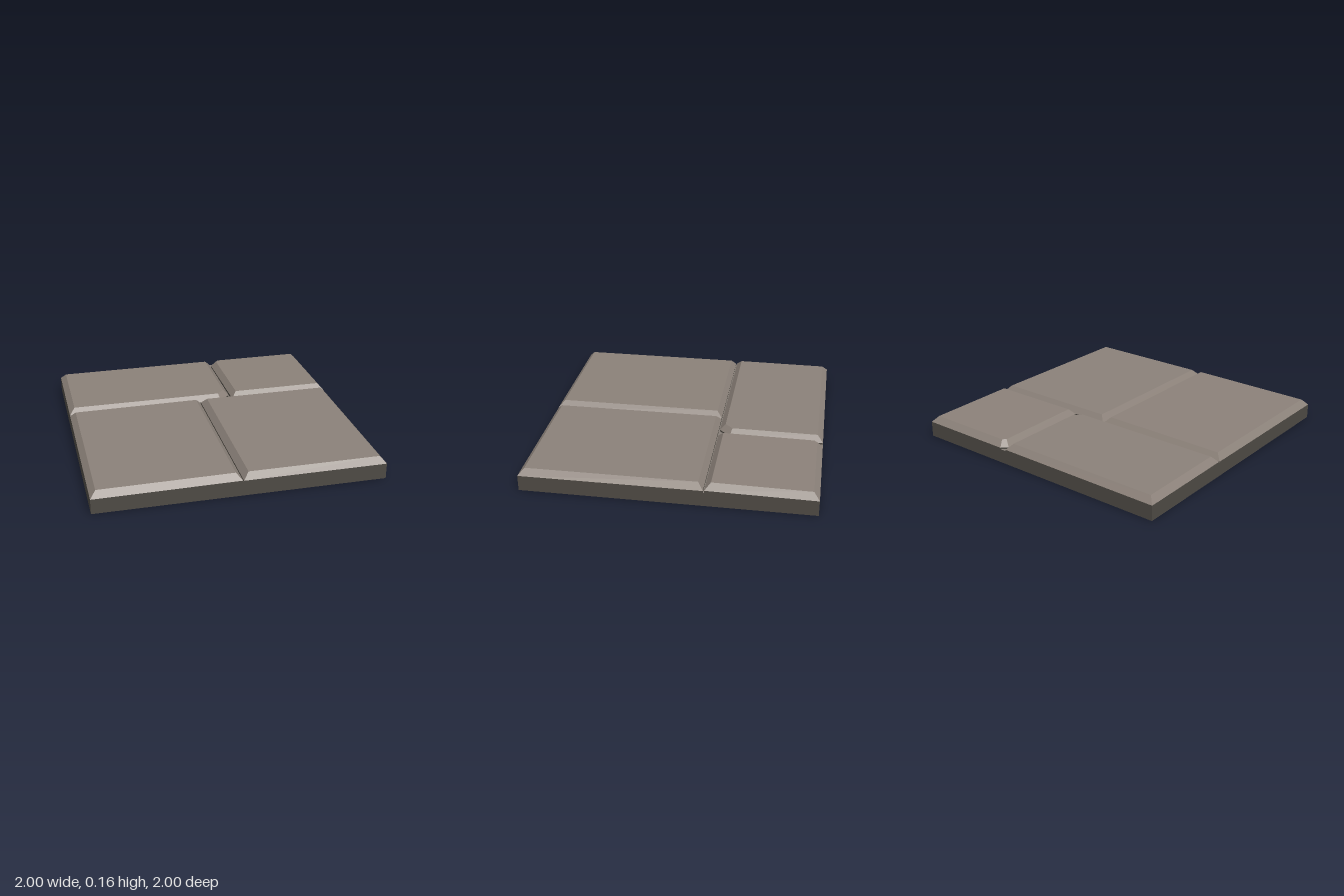
import * as THREE from 'three';

const FLOOR = 0.1; // top of the slab, seen in the joints
const BEVEL = 0.043;

const stone = new THREE.MeshStandardMaterial({ color: 0x8b8179 });
stone.name = 'stone';
const darkStone = new THREE.MeshStandardMaterial({ color: 0x4e4a44 });
darkStone.name = 'darkStone';
const mortar = new THREE.MeshStandardMaterial({ color: 0x857e77 });
mortar.name = 'mortar';

// Rectangle with optional corner cuts, counterclockwise seen from above.
// cuts: front left, front right, back right, back left (in plan).
function outline(x0, x1, z0, z1, cuts) {
  const corners = [[x0, z1, 0, -1, 1, 0], [x1, z1, -1, 0, 0, -1], [x1, z0, 0, 1, -1, 0], [x0, z0, 1, 0, 0, 1]];
  return corners.flatMap(([x, z, ax, az, bx, bz], i) => {
    const c = cuts[i];
    return c ? [[x + ax * c, z + az * c], [x + bx * c, z + bz * c]] : [[x, z]];
  });
}

// Paving stone: dark skirt, bevel and a slightly tilted top
function paver({ name, x0, x1, z0, z1, inset, cuts = [0, 0, 0, 0], topCuts = cuts, height }) {
  const [l, r, b, f] = inset;
  const edge = outline(x0, x1, z0, z1, cuts);
  const inner = outline(x0 + l, x1 - r, z0 + b, z1 - f, topCuts);
  const foot = edge.map(([x, z]) => [x, FLOOR, z]);
  const low = edge.map(([x, z]) => [x, height(x, z) - BEVEL, z]);
  const high = inner.map(([x, z]) => [x, height(x, z), z]);

  const pos = [];
  const tri = (...pts) => pts.forEach((p) => pos.push(...p));
  const band = (a, c) => a.forEach((p, i) => {
    const j = (i + 1) % a.length;
    tri(p, a[j], c[j], p, c[j], c[i]);
  });
  band(foot, low);
  const skirtCount = pos.length / 3;
  band(low, high);
  for (let i = 1; i < high.length - 1; i++) tri(high[0], high[i], high[i + 1]);

  const geo = new THREE.BufferGeometry();
  geo.setAttribute('position', new THREE.Float32BufferAttribute(pos, 3));
  geo.addGroup(0, skirtCount, 0);
  geo.addGroup(skirtCount, pos.length / 3 - skirtCount, 1);
  geo.computeVertexNormals();
  const mesh = new THREE.Mesh(geo, [darkStone, stone]);
  mesh.name = name;
  return mesh;
}

export function createModel() {
  const group = new THREE.Group();
  group.name = 'pavingTile';

  // Slab with a mortar-coloured top
  const slab = new THREE.Mesh(
    new THREE.BoxGeometry(2, FLOOR, 2),
    [darkStone, darkStone, mortar, darkStone, darkStone, darkStone]
  );
  slab.position.y = FLOOR / 2;
  slab.name = 'slab';
  group.add(slab);

  // Four pavers; inset is the bevel width at left, right, back, front in plan
  const pavers = [
    {
      name: 'frontRightPaver', x0: -1, x1: -0.003, z0: -0.247, z1: 1,
      inset: [0.04, 0.04, 0.036, 0.04],
      height: (x, z) => 0.157 + 0.007 * x - 0.002 * z,
    },
    {
      name: 'frontLeftPaver', x0: 0.003, x1: 1, z0: -0.247, z1: 1,
      inset: [0.04, 0.04, 0.036, 0.04],
      height: (x, z) => 0.156 + 0.001 * x - 0.003 * z,
    },
    {
      name: 'backRightPaver', x0: -1, x1: 0.245, z0: -1, z1: -0.255,
      inset: [0.04, 0.04, 0.04, 0.04], cuts: [0, 0.08, 0, 0], topCuts: [0, 0.055, 0, 0],
      height: (x, z) => 0.155 + 0.002 * x + 0.003 * z,
    },
    {
      name: 'backLeftPaver', x0: 0.255, x1: 1, z0: -1, z1: -0.255,
      inset: [0.038, 0.04, 0.04, 0.04], cuts: [0, 0, 0, 0.04], topCuts: [0, 0, 0, 0.022],
      height: (x, z) => 0.162 + 0.001 * x + 0.009 * z,
    },
  ];
  pavers.forEach((p) => group.add(paver(p)));
  return group;
}
